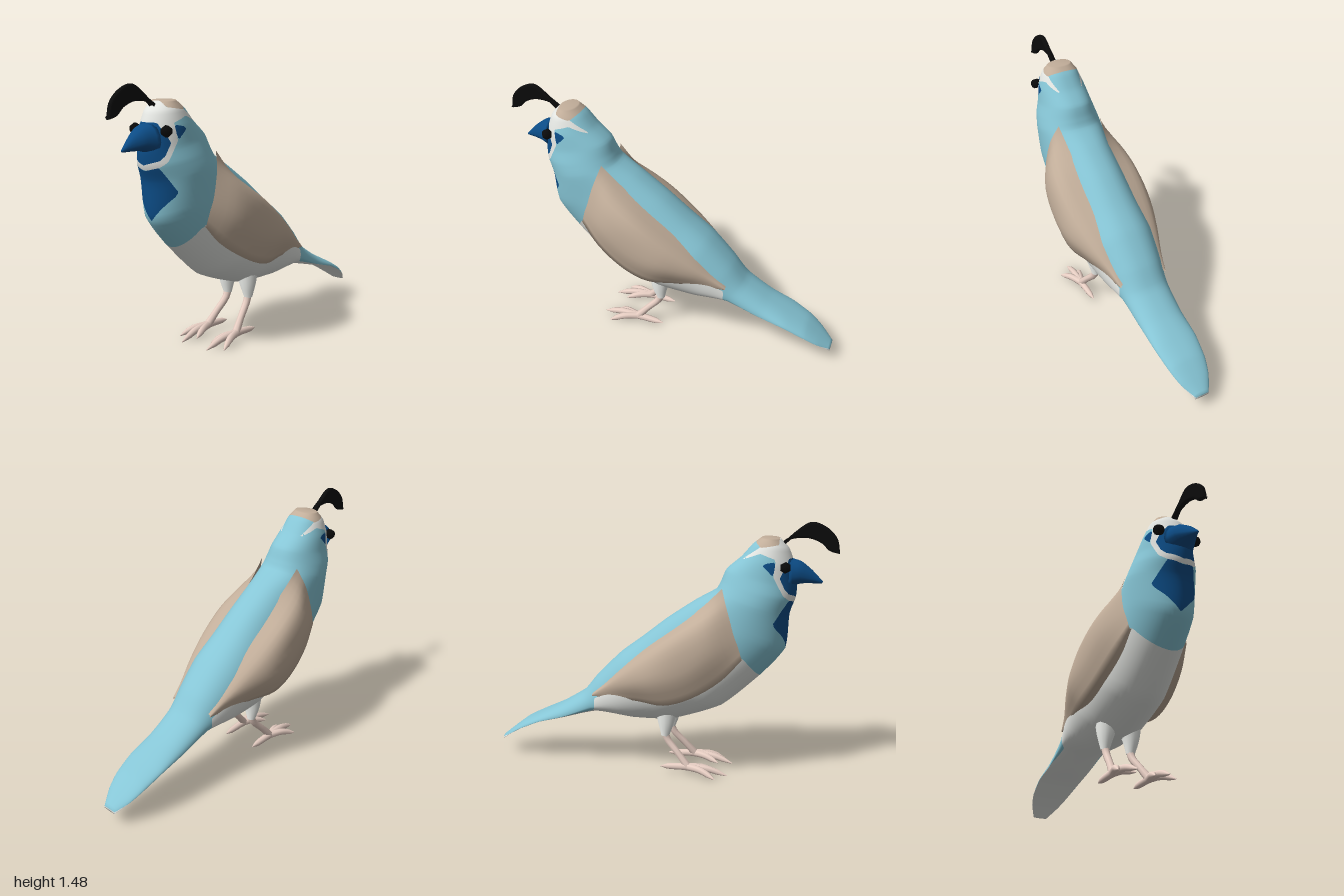
import * as THREE from 'three';

const COLORS = { blue: 0x86c5d5, navy: 0x0c4c86, tan: 0xc2ae9a, white: 0xe4e6e2, skin: 0xe8cfc4, black: 0x0b0b0b };
const MATS = {};
for (const k in COLORS) MATS[k] = new THREE.MeshStandardMaterial({ color: COLORS[k], side: THREE.DoubleSide });

function part(name, geometry, color) {
  const m = new THREE.Mesh(geometry, MATS[color]);
  m.name = name;
  return m;
}

// Indexed surface from equal-length rows of points
function grid(rows, closed) {
  const n = rows[0].length, idx = [];
  for (let i = 0; i < rows.length - 1; i++)
    for (let j = 0; j < (closed ? n : n - 1); j++) {
      const k = (j + 1) % n, a = i * n + j, b = i * n + k, c = a + n, d = b + n;
      idx.push(a, b, c, b, d, c);
    }
  const g = new THREE.BufferGeometry().setFromPoints(rows.flat());
  g.setIndex(idx);
  g.computeVertexNormals();
  return g;
}

// Loft of rings [topZ, topY, bottomZ, bottomY, halfWidth, height of widest point 0..1]
function loft(rings, seg, sub) {
  const rows = [], last = rings.length - 1;
  for (let s = 0; s <= last * sub; s++) {
    const i = Math.min(Math.floor(s / sub), last - 1), t = s / sub - i;
    const at = (q) => rings[Math.max(0, Math.min(last, q))];
    const smooth = rings[0].map((_, k) => {
      const [a, b, c, d] = [at(i - 1)[k], at(i)[k], at(i + 1)[k], at(i + 2)[k]];
      const curve = b + 0.5 * t * (c - a + t * (2 * a - 5 * b + 4 * c - d + t * (3 * (b - c) + d - a)));
      return 0.5 * curve + 0.5 * (b + (c - b) * t);
    });
    const [tz, ty, bz, by, w, f] = smooth, row = [];
    for (let j = 0; j < seg; j++) {
      const a = (j / seg) * Math.PI * 2, c = Math.cos(a), sn = Math.sin(a);
      const h = f + c * (c > 0 ? 1 - f : f);
      // broad back, keeled underside
      const x = w * Math.sign(sn) * Math.abs(sn) ** (c > 0 ? 0.85 : 1.08);
      row.push(new THREE.Vector3(x, by + (ty - by) * h, bz + (tz - bz) * h));
    }
    rows.push(row);
  }
  // close both ends
  const mid = (row) => {
    const c = row.reduce((s, p) => s.add(p), new THREE.Vector3()).divideScalar(seg);
    return row.map(() => c.clone());
  };
  return grid([mid(rows[0]), ...rows, mid(rows[rows.length - 1])], true);
}

// Signed distance to a polygon, positive inside
function inside(poly, x, y) {
  let d = Infinity, sign = -1;
  poly.forEach(([ax, ay], i) => {
    const [bx, by] = poly[(i + 1) % poly.length], ex = bx - ax, ey = by - ay;
    const t = Math.max(0, Math.min(1, ((x - ax) * ex + (y - ay) * ey) / (ex * ex + ey * ey)));
    d = Math.min(d, Math.hypot(x - ax - ex * t, y - ay - ey * t));
    if ((ay > y) !== (by > y) && x < ax + (ex * (y - ay)) / ey) sign = -sign;
  });
  return sign * d;
}

// Cut triangles along f = 0 into [inside, outside]
function split(tris, f) {
  const out = [[], []];
  for (const tri of tris) {
    const d = tri.map((v) => f(v[0], v[1], v[2]));
    [1, -1].forEach((s, side) => {
      const poly = [];
      for (let i = 0; i < 3; i++) {
        const k = (i + 1) % 3, a = d[i] * s, b = d[k] * s;
        if (a >= 0) poly.push(tri[i]);
        if (a * b < 0) poly.push(tri[i].map((v, q) => v + ((tri[k][q] - v) * a) / (a - b)));
      }
      for (let i = 2; i < poly.length; i++) out[side].push([poly[0], poly[i - 1], poly[i]]);
    });
  }
  return out;
}

function fromTriangles(tris) {
  const v = tris.flat(), g = new THREE.BufferGeometry();
  g.setAttribute('position', new THREE.Float32BufferAttribute(v.flatMap((p) => p.slice(0, 3)), 3));
  g.setAttribute('normal', new THREE.Float32BufferAttribute(v.flatMap((p) => p.slice(3)), 3));
  return g;
}

// Tube whose radius follows a short list
function taper(points, radii, sides = 8, n = 12) {
  const curve = new THREE.CatmullRomCurve3(points.map((p) => new THREE.Vector3(...p)));
  const g = new THREE.TubeGeometry(curve, n, 1, sides), pos = g.attributes.position, p = new THREE.Vector3();
  for (let i = 0; i < pos.count; i++) {
    const u = Math.floor(i / (sides + 1)) / n, s = u * (radii.length - 1), k = Math.min(Math.floor(s), radii.length - 2);
    const c = curve.getPointAt(u);
    p.fromBufferAttribute(pos, i).sub(c).multiplyScalar(radii[k] + (radii[k + 1] - radii[k]) * (s - k)).add(c);
    pos.setXYZ(i, p.x, p.y, p.z);
  }
  return g;
}

// Body from crown to tail tip, cut into plumage patches
function createBody() {
  const g = loft([
    [0.58, 1.40, 0.68, 1.395, 0.07, 0.5], [0.53, 1.36, 0.73, 1.34, 0.105, 0.5], [0.47, 1.29, 0.765, 1.25, 0.132, 0.5],
    [0.39, 1.22, 0.78, 1.14, 0.148, 0.5], [0.36, 1.15, 0.775, 1.07, 0.17, 0.5], [0.33, 1.10, 0.745, 0.98, 0.185, 0.5],
    [0.21, 1.03, 0.73, 0.78, 0.188, 0.5], [0.05, 0.92, 0.60, 0.62, 0.197, 0.5], [-0.10, 0.80, 0.38, 0.42, 0.213, 0.5],
    [-0.23, 0.70, 0.10, 0.315, 0.21, 0.52], [-0.37, 0.56, -0.12, 0.305, 0.178, 0.5], [-0.46, 0.45, -0.35, 0.335, 0.145, 0.4],
    [-0.60, 0.36, -0.57, 0.285, 0.134, 0.2], [-0.73, 0.295, -0.72, 0.25, 0.132, 0.15], [-0.84, 0.24, -0.85, 0.19, 0.115, 0.15],
    [-0.92, 0.18, -0.925, 0.145, 0.09, 0.15], [-1.0, 0.115, -1.0, 0.09, 0.045, 0.15],
  ], 64, 6);
  const { position: P, normal: N } = g.attributes, ix = g.index.array;
  let rest = [];
  const vert = (i) => [P.getX(i), P.getY(i), P.getZ(i), N.getX(i), N.getY(i), N.getZ(i)];
  for (let i = 0; i < ix.length; i += 3) rest.push([vert(ix[i]), vert(ix[i + 1]), vert(ix[i + 2])]);

  const front = (half) => {
    const poly = [...half, ...half.map(([x, y]) => [-x, y]).reverse()];
    return (x, y, z) => Math.min(inside(poly, x, y), z - 0.58);
  };
  const side = (poly) => (x, y, z) => inside(poly, z, y);
  const patches = [
    ['bib', 'navy', front([[0.001, 1.045], [0.08, 1.065], [0.14, 0.93], [0.001, 0.78]])],
    ['face', 'navy', front([[0.001, 1.29], [0.06, 1.29], [0.1, 1.24], [0.118, 1.19], [0.105, 1.125], [0.085, 1.1], [0.001, 1.075]])],
    ['cheek', 'navy', side([[0.67, 1.28], [0.595, 1.265], [0.66, 1.2]])],
    ['crown', 'tan', side([[0.675, 1.45], [0.68, 1.365], [0.585, 1.35], [0.545, 1.38], [0.51, 1.45]])],
    ['faceStripes', 'white', side([[0.9, 1.45], [0.675, 1.45], [0.68, 1.365], [0.585, 1.355], [0.47, 1.275], [0.585, 1.32],
      [0.67, 1.29], [0.66, 1.2], [0.715, 1.095], [0.76, 1.05], [0.9, 1.04]])],
    ['belly', 'white', side([[0.9, 0.615], [0.6, 0.615], [0.51, 0.75], [0.3, 0.68], [-0.2, 0.54], [-0.36, 0.44], [-0.36, 0.365],
      [-0.58, 0.298], [-0.72, 0.257], [-0.85, 0.198], [-1.02, 0.09], [-1.02, 0], [0.9, 0]])],
  ];
  const body = new THREE.Group();
  body.name = 'body';
  for (const [name, color, f] of patches) {
    const [inner, outer] = split(rest, f);
    body.add(part(name, fromTriangles(inner), color));
    rest = outer;
  }
  body.add(part('backAndTail', fromTriangles(rest), 'blue'));
  return body;
}

// Folded wing: sections from shoulder to tip, each from upper to lower edge
function createWing() {
  const sections = [
    [[0.135, 1.125, 0.385], [0.175, 1.02, 0.42], [0.187, 0.87, 0.47], [0.178, 0.74, 0.51]],
    [[0.125, 1.02, 0.28], [0.23, 0.94, 0.3], [0.262, 0.78, 0.34], [0.21, 0.62, 0.4]],
    [[0.12, 0.9, 0.13], [0.255, 0.85, 0.15], [0.285, 0.67, 0.19], [0.235, 0.51, 0.23]],
    [[0.12, 0.775, -0.04], [0.245, 0.73, -0.02], [0.285, 0.61, 0.02], [0.235, 0.46, 0.08]],
    [[0.12, 0.66, -0.18], [0.21, 0.62, -0.17], [0.24, 0.56, -0.12], [0.205, 0.465, -0.08]],
    [[0.12, 0.54, -0.3], [0.17, 0.525, -0.29], [0.18, 0.505, -0.27], [0.175, 0.465, -0.24]],
    [[0.135, 0.47, -0.37], [0.15, 0.465, -0.37], [0.152, 0.46, -0.37], [0.15, 0.455, -0.37]],
  ].map((s) => s.map((p) => new THREE.Vector3(...p)));
  const along = [0, 1, 2, 3].map((k) => new THREE.CatmullRomCurve3(sections.map((s) => s[k])));
  const rows = [];
  for (let i = 0; i <= 24; i++) {
    const row = new THREE.CatmullRomCurve3(along.map((c) => c.getPoint(i / 24))).getPoints(12);
    const e = row[12]; // tuck the lower edge in to the body
    row.push(new THREE.Vector3(e.x - 0.09, e.y + 0.02, e.z));
    rows.push(row);
  }
  return part('wing', grid(rows, false), 'tan');
}

// Thigh, shank and four toes
function createLeg() {
  const leg = new THREE.Group();
  leg.name = 'leg';
  leg.add(part('thigh', taper([[0.072, 0.4, 0.06], [0.08, 0.3, 0.06], [0.08, 0.225, 0.055]], [0.07, 0.05, 0.024], 12), 'white'));
  leg.add(part('shank', taper([[0.08, 0.26, 0.05], [0.08, 0.2, 0.07], [0.095, 0.12, 0.14], [0.11, 0.05, 0.2]],
    [0.023, 0.021, 0.02, 0.024]), 'skin'));
  const tips = [[0.095, 0.01, 0.43], [0.172, 0.012, 0.37], [0.055, 0.02, 0.35], [0.11, 0.038, 0.035]];
  for (const [x, y, z] of tips)
    leg.add(part('toe', taper([[0.11, 0.05, 0.2], [(x + 0.11) / 2, 0.045, (z + 0.2) / 2], [x, y, z]],
      [0.024, 0.021, 0.02, 0.017, 0.003]), 'skin'));
  return leg;
}

export function createModel() {
  const bird = new THREE.Group();
  bird.name = 'bird';
  bird.add(createBody());

  bird.add(part('beak', loft([
    [0.918, 1.165, 0.912, 1.153, 0.006, 0.5], [0.86, 1.225, 0.86, 1.153, 0.034, 0.4],
    [0.8, 1.272, 0.8, 1.15, 0.068, 0.4], [0.74, 1.29, 0.74, 1.13, 0.095, 0.4],
  ], 16, 3), 'navy'));

  // Forward-curling head plume
  const plume = new THREE.Shape();
  plume.moveTo(0.7, 1.37);
  plume.splineThru([[0.76, 1.43], [0.84, 1.483], [0.92, 1.46], [0.98, 1.4], [0.998, 1.32]].map((p) => new THREE.Vector2(...p)));
  plume.splineThru([[0.945, 1.335], [0.9, 1.375], [0.83, 1.4], [0.75, 1.395], [0.7, 1.37]].map((p) => new THREE.Vector2(...p)));
  const crest = new THREE.ExtrudeGeometry(plume,
    { depth: 0.004, bevelSize: 0.012, bevelOffset: -0.01, bevelThickness: 0.013, bevelSegments: 3, curveSegments: 12 });
  crest.translate(0, 0, -0.002).rotateY(-Math.PI / 2);
  bird.add(part('crest', crest, 'black'));

  // Mirrored parts
  for (const s of [1, -1]) {
    const half = new THREE.Group();
    half.name = s > 0 ? 'leftSide' : 'rightSide';
    half.scale.x = s;
    const eye = part('eye', new THREE.SphereGeometry(0.032, 6, 5).rotateZ(Math.PI / 2), 'black');
    eye.position.set(0.115, 1.25, 0.722);
    half.add(createWing(), createLeg(), eye);
    bird.add(half);
  }
  return bird;
}
